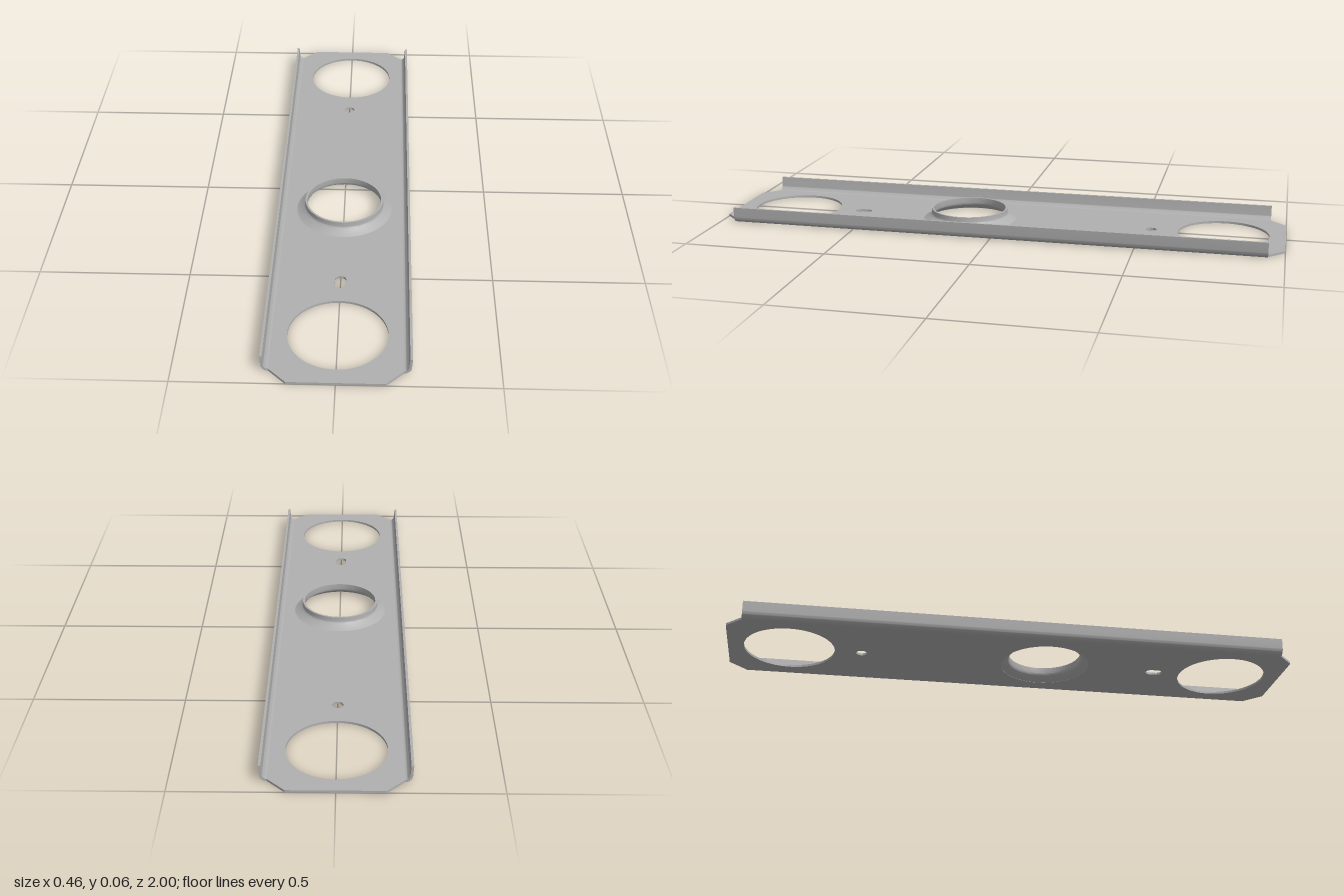
import * as THREE from 'three';
import { toCreasedNormals } from 'three/addons/utils/BufferGeometryUtils.js';

const T = 0.008; // sheet thickness
const FLAT = 0.205; // half width of the flat web
const FLANGE_Z = 0.945; // half length of the side flanges
const COLLAR_Z = 0.125;

function roundHole(z, r) {
  return new THREE.Path().absarc(0, z, r, 0, Math.PI * 2, true);
}

function slotHole(z, r, half) {
  const p = new THREE.Path();
  p.absarc(0, z + half, r, 0, Math.PI, false);
  p.absarc(0, z - half, r, Math.PI, Math.PI * 2, false);
  p.closePath();
  return p;
}

export function createModel() {
  const group = new THREE.Group();
  const steel = new THREE.MeshStandardMaterial({ color: 0xb0b0b0 });
  steel.name = 'grey steel';

  const add = (name, geometry, crease = 0.6) => {
    const mesh = new THREE.Mesh(toCreasedNormals(geometry, crease), steel);
    mesh.name = name;
    group.add(mesh);
    return mesh;
  };

  // Flat web with chamfered ends and all the cut-outs
  const outline = new THREE.Shape([
    [-0.15, -1], [0.15, -1], [FLAT, -FLANGE_Z], [FLAT, FLANGE_Z],
    [0.15, 1], [-0.15, 1], [-FLAT, FLANGE_Z], [-FLAT, -FLANGE_Z],
  ].map(([x, z]) => new THREE.Vector2(x, z)));
  outline.holes.push(
    roundHole(-0.787, 0.158),
    roundHole(0.785, 0.158),
    roundHole(COLLAR_Z, 0.158),
    roundHole(-0.535, 0.019),
    slotHole(0.532, 0.019, 0.011),
  );
  const web = new THREE.ExtrudeGeometry(outline, { depth: T, bevelEnabled: false, curveSegments: 32 });
  web.rotateX(Math.PI / 2).translate(0, T, 0);
  add('webPlate', web);

  // Bent side flanges: a quarter bend, then a slightly splayed upright lip
  const R = 0.023;
  for (const side of [1, -1]) {
    const arc = (r) => Array.from({ length: 9 }, (_, i) => {
      const a = (i / 8) * (Math.PI / 2 - 0.06);
      return new THREE.Vector2(side * (FLAT + r * Math.sin(a)), R - r * Math.cos(a));
    });
    const profile = [
      ...arc(R),
      new THREE.Vector2(side * 0.2305, 0.057),
      new THREE.Vector2(side * 0.2225, 0.057),
      ...arc(R - T).reverse(),
    ];
    const flange = new THREE.ExtrudeGeometry(new THREE.Shape(profile), {
      depth: 2 * FLANGE_Z, bevelEnabled: false,
    });
    flange.translate(0, 0, -FLANGE_Z);
    add(side > 0 ? 'leftFlange' : 'rightFlange', flange);
  }

  // Drawn collar: conical foot rising into a short upright neck, hollow below
  const collarProfile = [
    [0.167, T], [0.160, 0.0115], [0.142, 0.0235], [0.138, 0.0275], [0.137, 0.031], [0.137, 0.047],
    [0.130, 0.047], [0.130, 0.027], [0.131, 0.0225], [0.135, 0.0175], [0.152, 0.005], [0.159, 0],
  ].map(([r, y]) => new THREE.Vector2(r, y));
  const collar = new THREE.LatheGeometry(collarProfile, 64);
  add('collar', collar).position.z = COLLAR_Z;

  return group;
}
